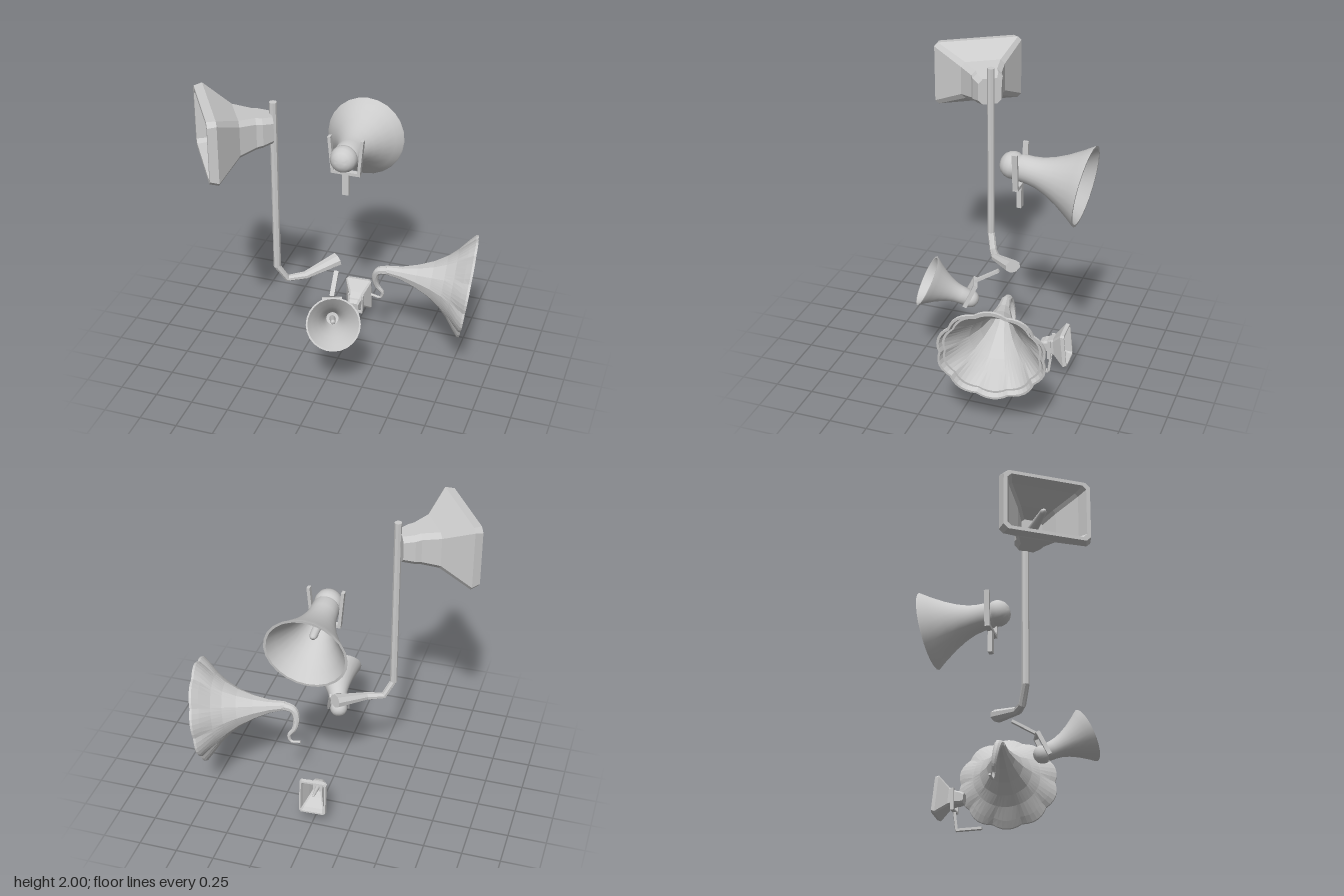
import * as THREE from 'three';
import { toCreasedNormals } from 'three/addons/utils/BufferGeometryUtils.js';

const flat = new THREE.MeshStandardMaterial({ color: 0xcccccc, flatShading: true });
const smooth = new THREE.MeshStandardMaterial({ color: 0xcccccc });
const V = (x, y, z) => new THREE.Vector3(x, y, z);

function mesh(parent, name, geometry, material = flat) {
  const m = new THREE.Mesh(geometry, material);
  m.name = name;
  parent.add(m);
  return m;
}

// Skin over a list of equal rings, closed at both ends
function loft(rings) {
  const n = rings[0].length, pos = [], idx = [];
  rings.forEach(r => r.forEach(p => pos.push(p.x, p.y, p.z)));
  for (let i = 0; i < rings.length - 1; i++) {
    for (let j = 0; j < n; j++) {
      const k = (j + 1) % n, a = i * n + j, b = i * n + k;
      idx.push(a, b, b + n, a, b + n, a + n);
    }
  }
  const last = (rings.length - 1) * n;
  for (let j = 1; j < n - 1; j++) {
    idx.push(0, j + 1, j, last, last + j, last + j + 1);
  }
  const g = new THREE.BufferGeometry();
  g.setAttribute('position', new THREE.Float32BufferAttribute(pos, 3));
  g.setIndex(idx);
  const out = g.toNonIndexed();
  out.computeVertexNormals();
  return out;
}

// Elliptical section carried along a path; sizes are [half across, half deep]
function sweep(points, sizes, side, sides = 8) {
  return loft(points.map((p, i) => {
    const t = points[Math.min(i + 1, points.length - 1)].clone().sub(points[Math.max(i - 1, 0)]).normalize();
    const u = side.clone().addScaledVector(t, -side.dot(t)).normalize();
    const v = t.clone().cross(u);
    return Array.from({ length: sides }, (_, j) => {
      const a = (j + 0.5) / sides * Math.PI * 2;
      return p.clone().addScaledVector(u, Math.cos(a) * sizes[i][0]).addScaledVector(v, Math.sin(a) * sizes[i][1]);
    });
  }));
}

// Square bar between two points
function bar(parent, name, a, b, w, d = w) {
  const m = mesh(parent, name, new THREE.BoxGeometry(w, d, a.distanceTo(b)));
  m.position.copy(a).lerp(b, 0.5);
  m.lookAt(b);
  return m;
}

// Group whose local +z points along dir
function aimed(parent, name, pos, dir, scale = 1, roll = 0) {
  const g = new THREE.Group();
  g.name = name;
  g.position.copy(pos);
  g.lookAt(pos.clone().add(dir));
  g.rotateZ(roll);
  g.scale.setScalar(scale);
  parent.add(g);
  return g;
}

// Tapered rod in the throat of a horn
function plug(parent, z0, z1, r0, r1) {
  const g = new THREE.LatheGeometry([[r0, z0], [r1, z1 - r1], [r1 * 0.7, z1 - r1 * 0.3], [0, z1]]
    .map(p => new THREE.Vector2(...p)), 12);
  mesh(parent, 'throatPlug', g.rotateX(Math.PI / 2), smooth);
}

// Rectangular horn with chamfered corners: z, half width, half height, chamfer
function squareHorn(g) {
  const rings = [
    [0, 0.077, 0.088, 0.03], [0.07, 0.1, 0.1, 0.03], [0.11, 0.1, 0.107, 0.03], [0.22, 0.147, 0.125, 0.03],
    [0.375, 0.293, 0.215, 0.025], [0.43, 0.28, 0.208, 0.03],
    [0.43, 0.255, 0.185, 0.025], [0.36, 0.225, 0.165, 0.02], [0.22, 0.125, 0.105, 0.02], [0.12, 0.07, 0.07, 0.02],
  ].map(([z, w, h, c]) => [
    V(w, c - h, z), V(w, h - c, z), V(w - c, h, z), V(c - w, h, z),
    V(-w, h - c, z), V(-w, c - h, z), V(c - w, -h, z), V(w - c, -h, z),
  ]);
  mesh(g, 'squareBell', loft(rings));
  plug(g, 0.11, 0.37, 0.035, 0.02);
}

// Round horn with a domed driver at the back
function roundHorn(g) {
  const profile = [
    [0, 0], [0.033, 0.003], [0.06, 0.018], [0.08, 0.045], [0.088, 0.075], [0.086, 0.1], [0.078, 0.115],
    [0.087, 0.135], [0.09, 0.2], [0.1, 0.26], [0.125, 0.33], [0.165, 0.41], [0.222, 0.5], [0.258, 0.55],
    [0.263, 0.56], [0.247, 0.56], [0.205, 0.5], [0.148, 0.41], [0.108, 0.33], [0.083, 0.26], [0.06, 0.18], [0, 0.16],
  ].map(p => new THREE.Vector2(...p));
  const geo = new THREE.LatheGeometry(profile, 24).rotateX(Math.PI / 2);
  mesh(g, 'roundBell', toCreasedNormals(geo, 0.65), smooth);
  plug(g, 0.15, 0.42, 0.03, 0.025);
}

// U-shaped bracket, base at local y = 0, arms rising and spreading
function bracket(parent, half, spread, height, t, depth) {
  const g = new THREE.Group();
  g.name = 'bracket';
  parent.add(g);
  mesh(g, 'bracketBase', new THREE.BoxGeometry(half * 2 + t, t, depth));
  for (const s of [-1, 1]) {
    const arm = mesh(g, 'bracketArm', new THREE.BoxGeometry(t, Math.hypot(height, spread), depth));
    arm.position.set(s * (half + spread / 2), height / 2, 0);
    arm.rotation.z = -s * Math.atan2(spread, height);
  }
  return g;
}

// Ribbed horn with a scalloped rim
function petalHorn(g) {
  const N = 10, per = 6;
  // distance along axis, radius, scallop amount
  const rings = [
    [0, 0.03, 0], [0.1, 0.045, 0], [0.2, 0.078, 0], [0.3, 0.125, 0.1], [0.38, 0.18, 0.25], [0.44, 0.235, 0.5],
    [0.5, 0.305, 0.9], [0.535, 0.343, 1], [0.55, 0.343, 1],
    [0.55, 0.328, 1], [0.525, 0.312, 1], [0.525, 0.298, 0.9], [0.44, 0.222, 0.5], [0.38, 0.168, 0.25],
    [0.3, 0.113, 0.1], [0.2, 0.066, 0], [0.1, 0.034, 0],
  ].map(([z, r, k]) => Array.from({ length: N * per }, (_, i) => {
    const a = i / (N * per) * Math.PI * 2;
    const chord = Math.cos(Math.PI / N) / Math.cos((i % per) / per * 2 * Math.PI / N - Math.PI / N);
    const lobe = 0.94 + 0.06 * Math.sin((i % per) / per * Math.PI);
    const rad = r * THREE.MathUtils.lerp(chord, lobe, k);
    return V(Math.cos(a) * rad, Math.sin(a) * rad, z);
  }));
  mesh(g, 'petalBell', loft(rings));
}

export function createModel() {
  const root = new THREE.Group();
  root.name = 'hornCollection';

  // Large square horn on its bent pole
  squareHorn(aimed(root, 'largeSquareHorn', V(-0.37, 1.785, 0.165), V(-0.851, 0, 0.526)));
  mesh(root, 'pole', sweep(
    [V(-0.36, 1.95, 0.155), V(-0.36, 0.77, 0.155), V(-0.305, 0.665, 0.12), V(-0.2, 0.675, 0.065), V(-0.04, 0.725, -0.11)],
    [[0.024, 0.024], [0.024, 0.024], [0.024, 0.022], [0.03, 0.025], [0.055, 0.042]], V(0.62, 0, 0.78)));

  // Large round horn with bracket
  roundHorn(aimed(root, 'largeRoundHorn', V(0, 1.49, -0.04), V(0, -0.152, -0.988)));
  const big = bracket(root, 0.088, 0.022, 0.245, 0.02, 0.035);
  big.position.set(0, 1.355, -0.168);
  mesh(big, 'bracketStem', new THREE.BoxGeometry(0.045, 0.16, 0.03)).position.y = -0.08;

  // Small round horn, hung from an upturned bracket
  const small = aimed(root, 'smallRoundHorn', V(0, 0.435, 0.12), V(0.31, 0.44, 0.84), 0.66);
  roundHorn(small);
  const hung = bracket(small, 0.088, 0.015, 0.25, 0.02, 0.04);
  hung.position.set(0, 0.19, 0.12);
  hung.rotation.z = Math.PI;
  bar(root, 'hangerStem', V(0.005, 0.595, 0.135), V(-0.015, 0.69, -0.02), 0.03, 0.018);

  // Petal horn with its curled throat
  petalHorn(aimed(root, 'petalHorn', V(0.28, 0.665, -0.175), V(0.975, -0.135, -0.165)));
  const path = new THREE.CatmullRomCurve3([
    V(0.29, 0.664, -0.177), V(0.225, 0.645, -0.175), V(0.2, 0.58, -0.185), V(0.21, 0.51, -0.2),
    V(0.245, 0.455, -0.21), V(0.23, 0.413, -0.213), V(0.165, 0.42, -0.215),
  ]).getPoints(28);
  mesh(root, 'curledThroat', sweep(path, path.map((_, i) => {
    const r = THREE.MathUtils.lerp(0.031, 0.009, Math.min(1, i / 22));
    return [r, r];
  }), V(0, 0, 1)));

  // Small square horn on its stand
  squareHorn(aimed(root, 'smallSquareHorn', V(0, 0.203, -0.33), V(-0.04, 0.1, -0.99), 0.42, Math.PI / 2));
  bracket(root, 0.045, 0.004, 0.135, 0.012, 0.022).position.set(0, 0.13, -0.395);
  bar(root, 'standStem', V(0.01, 0.13, -0.397), V(0.015, 0.01, -0.383), 0.024, 0.016);
  bar(root, 'standFoot', V(0.015, 0.008, -0.385), V(0.015, 0.008, -0.22), 0.024, 0.016);

  return root;
}
